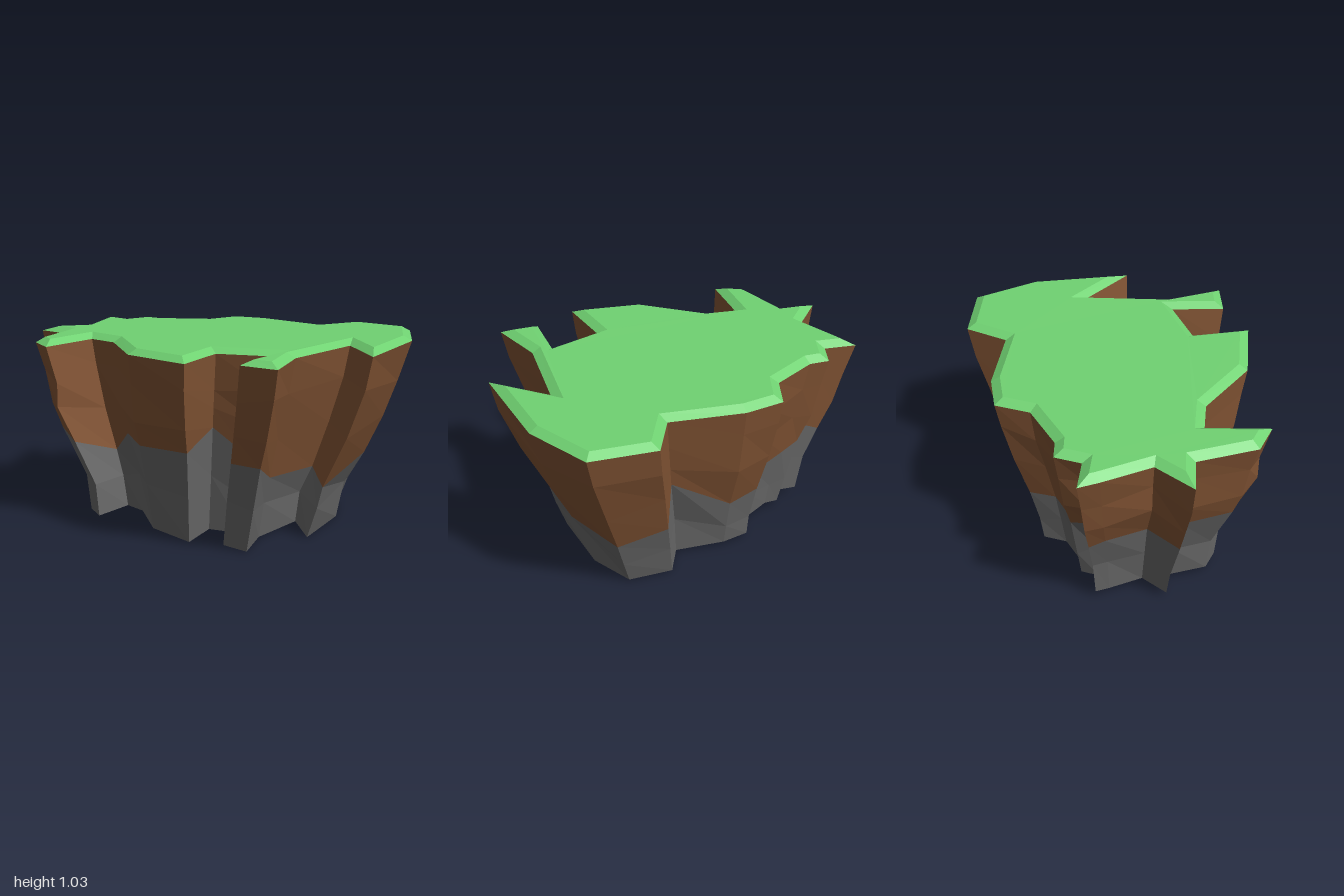
import * as THREE from 'three';

// Island outline seen from above, clockwise from the left tip: x, z, height where soil meets rock
const OUTLINE = [
  [-1, -0.04, 0.45], [-0.82, -0.04, 0.5], [-0.79, -0.18, 0.46], [-0.68, -0.19, 0.4],
  [-0.45, -0.35, 0.38], [-0.41, -0.54, 0.37], [-0.2, -0.6, 0.33], [0.2, -0.6, 0.56],
  [0.29, -0.835, 0.38], [0.64, -0.855, 0.31], [0.86, -0.55, 0.38], [1, -0.01, 0.29],
  [0.71, -0.21, 0.33], [0.74, 0.26, 0.35], [0.88, 0.55, 0.48], [0.67, 0.58, 0.48],
  [0.63, 0.29, 0.42], [0.36, 0.42, 0.6], [0.45, 0.725, 0.52], [0.05, 0.725, 0.5],
  [-0.3, 0.52, 0.48], [-0.48, 0.52, 0.36], [-0.45, 0.85, 0.46], [-0.62, 0.79, 0.51],
  [-0.75, 0.49, 0.5], [-0.95, 0.5, 0.48], [-0.81, 0.3, 0.48], [-0.95, 0.06, 0.48],
];
const N = OUTLINE.length;

// Cliff taper: height, scale of the outline
const TAPER = [[0, 0.68], [0.2, 0.72], [0.45, 0.82], [0.67, 0.92], [0.83, 0.96], [1, 1]];

function taper(y) {
  for (let k = 1; k < TAPER.length; k++) {
    const [y0, s0] = TAPER[k - 1], [y1, s1] = TAPER[k];
    if (y <= y1) return s0 + (s1 - s0) * (y - y0) / (y1 - y0);
  }
  return 1;
}

// Repeatable roughness in -0.5..0.5
function rough(i, k) {
  const s = Math.sin(i * 12.9898 + k * 78.233) * 43758.5453;
  return s - Math.floor(s) - 0.5;
}

// One cross-section of the cliff; heightAt gives the height for each outline point
function section(heightAt, k, amount) {
  return OUTLINE.map(([x, z, seam], i) => {
    const y = heightAt(seam, x, i);
    const s = taper(Math.max(y, 0)) + amount * rough(i, k);
    const drift = 0.035 * (1 - y);
    return new THREE.Vector3(x * s - drift, y, z * s + drift);
  });
}

// Faceted band between an upper and a lower ring
function band(out, upper, lower) {
  for (let i = 0; i < N; i++) {
    const j = (i + 1) % N;
    out.push(upper[j], lower[j], lower[i], upper[j], lower[i], upper[i]);
  }
}

// Flat cap over a ring, facing up or down
function cap(out, ring, up) {
  const loop = [...ring].reverse();
  const flat = loop.map((p) => new THREE.Vector2(p.x, -p.z));
  for (const [a, b, c] of THREE.ShapeUtils.triangulateShape(flat, [])) {
    out.push(loop[a], loop[up ? b : c], loop[up ? c : b]);
  }
}

// Ring moved inwards by an even width, with mitred corners
function inset(ring, width) {
  return ring.map((p, i) => {
    const a = ring[(i + N - 1) % N], b = ring[(i + 1) % N];
    const d1 = new THREE.Vector2(p.x - a.x, p.z - a.z).normalize();
    const d2 = new THREE.Vector2(b.x - p.x, b.z - p.z).normalize();
    const n1 = new THREE.Vector2(-d1.y, d1.x), n2 = new THREE.Vector2(-d2.y, d2.x);
    const m = n1.clone().add(n2).normalize();
    const len = Math.min(width / Math.max(m.dot(n1), 0.2), 0.15);
    return new THREE.Vector3(p.x + m.x * len, 1.015 + 0.01 * p.x, p.z + m.y * len);
  });
}

function makeMesh(name, points, material) {
  const geometry = new THREE.BufferGeometry().setFromPoints(points);
  geometry.computeVertexNormals();
  const mesh = new THREE.Mesh(geometry, material);
  mesh.name = name;
  return mesh;
}

function makeMaterial(name, color) {
  const material = new THREE.MeshStandardMaterial({ color, flatShading: true });
  material.name = name;
  return material;
}

export function createModel() {
  const green = makeMaterial('grass green', 0x70d272);
  const brown = makeMaterial('soil brown', 0x825434);
  const grey = makeMaterial('rock grey', 0x696969);

  // Cross-sections from the grass edge down to the base
  const rim = OUTLINE.map(([x, z]) => new THREE.Vector3(x, 0.987 + 0.012 * x, z));
  const upperSoil = section((seam, x, i) => 0.82 + 0.08 * rough(i, 1), 2, 0.03);
  const lowerSoil = section((seam, x, i) => (seam + 0.82) / 2 + 0.06 * rough(i, 3), 4, 0.04);
  const seamRing = section((seam) => seam, 5, 0.03);
  const midRock = section((seam, x, i) => seam * 0.5 + 0.07 * rough(i, 6), 7, 0.04);
  const base = section((seam, x) => 0.02 - 0.03 * x * 0.68, 8, 0);

  // Grass: sloped lip and flat top
  const grass = [], soil = [], rock = [], underside = [];
  const lawn = inset(rim, 0.047);
  band(grass, lawn, rim);
  cap(grass, lawn, true);

  // Soil above the seam, rock below it
  band(soil, rim, upperSoil);
  band(soil, upperSoil, lowerSoil);
  band(soil, lowerSoil, seamRing);
  band(rock, seamRing, midRock);
  band(rock, midRock, base);
  cap(underside, base, false);

  const island = new THREE.Group();
  island.name = 'island';
  island.add(
    makeMesh('grassTop', grass, green),
    makeMesh('soilCliff', soil, brown),
    makeMesh('rockCliff', rock, grey),
    makeMesh('underside', underside, brown),
  );
  return island;
}
